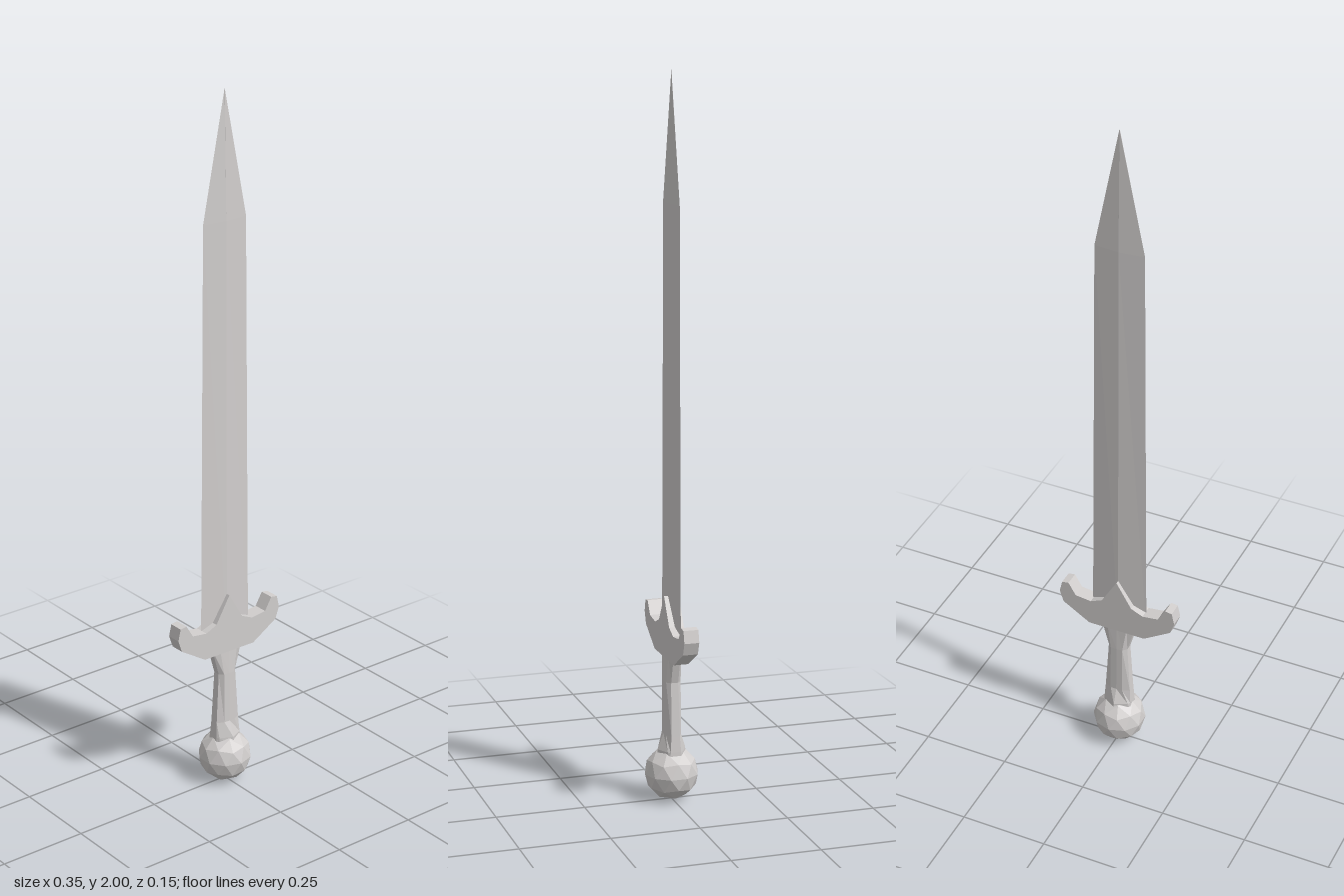
import * as THREE from 'three';

const steel = new THREE.MeshStandardMaterial({ color: 0xd2cfce });
steel.name = 'steel';
steel.flatShading = true;

// Joins horizontal rings of [x, z] points, listed from bottom to top, into a closed solid.
// Each ring runs from +x through -z to -x.
function loft(sections) {
  const n = sections[0].ring.length;
  const positions = [];
  const index = [];
  for (const { y, ring } of sections) for (const [x, z] of ring) positions.push(x, y, z);
  for (let s = 0; s < sections.length - 1; s++) {
    for (let i = 0; i < n; i++) {
      const a = s * n + i, b = s * n + (i + 1) % n;
      index.push(a, b, a + n, b, b + n, a + n);
    }
  }
  const top = (sections.length - 1) * n;
  for (let i = 1; i < n - 1; i++) {
    index.push(0, i + 1, i);
    index.push(top, top + i, top + i + 1);
  }
  const geometry = new THREE.BufferGeometry();
  geometry.setAttribute('position', new THREE.Float32BufferAttribute(positions, 3));
  geometry.setIndex(index);
  const flat = geometry.toNonIndexed();
  flat.computeVertexNormals();
  return flat;
}

function part(name, geometry) {
  const mesh = new THREE.Mesh(geometry, steel);
  mesh.name = name;
  return mesh;
}

export function createModel() {
  const group = new THREE.Group();
  group.name = 'sword';

  // Blade: diamond cross-section, narrowing to a point
  const blade = [[0.43, 0.083, 0.01], [1.65, 0.071, 0.007], [2, 0.0005, 0.0005]];
  group.add(part('blade', loft(blade.map(([y, w, d]) => (
    { y, ring: [[w, 0], [0, -d], [-w, 0], [0, d]] })))));

  // Crossguard: mirrored outline with upturned ends and a central peak
  const half = [[0.045, 0.503], [0.08, 0.487], [0.127, 0.493], [0.149, 0.53],
    [0.169, 0.527], [0.177, 0.493], [0.165, 0.458], [0.085, 0.408]];
  const outline = [[0, 0.58], ...half, ...half.map(([x, y]) => [-x, y]).reverse()];
  const guard = new THREE.ExtrudeGeometry(
    new THREE.Shape(outline.map(([x, y]) => new THREE.Vector2(x, y))),
    { depth: 0.042, bevelEnabled: false });
  guard.translate(0, 0, -0.021);
  group.add(part('crossguard', guard));

  // Grip: y, half width, side depth, front half width, front depth, ridge depth
  const grip = [
    [0.12, 0.042, 0.016, 0.036, 0.022, 0.042],
    [0.145, 0.041, 0.015, 0.036, 0.022, 0.04],
    [0.19, 0.038, 0.012, 0.018, 0.022, 0.023],
    [0.34, 0.029, 0.01, 0.018, 0.021, 0.022],
    [0.42, 0.051, 0.01, 0.03, 0.018, 0.019]];
  group.add(part('grip', loft(grip.map(([y, w, e, f, d, c]) => ({
    y,
    ring: [[w, e], [w, -e], [f, -d], [0, -c], [-f, -d],
      [-w, -e], [-w, e], [-f, d], [0, c], [f, d]],
  })))));

  // Pommel: faceted ball standing on one corner
  const ball = new THREE.IcosahedronGeometry(0.076, 1);
  ball.rotateZ(Math.atan(2 / (1 + Math.sqrt(5))));
  ball.translate(0, 0.076, 0);
  group.add(part('pommel', ball));

  return group;
}
